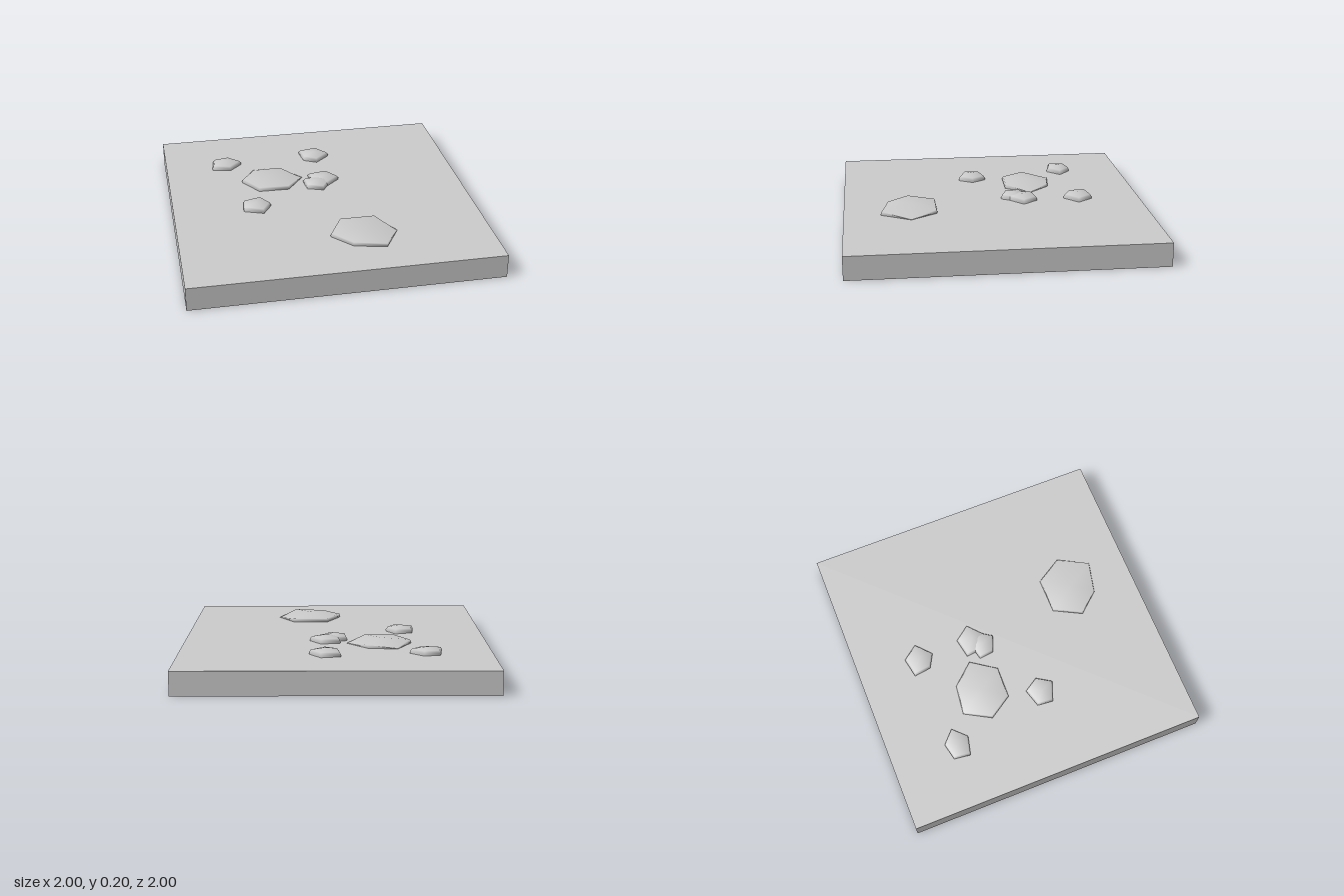
import * as THREE from 'three';

const TOP = 0.155; // upper face of the slab

// Low domed stone: outline corners [x, z, rim height], a short bulging side, a shallow crown
function stoneGeometry(outline, apex, inset) {
  const [ax, az, ay] = apex;
  const n = outline.length;
  const positions = [];
  const index = [];
  const ring = (scale, height) => outline.forEach(([x, z, h = 0.185]) =>
    positions.push(ax + (x - ax) * scale, height(h), az + (z - az) * scale));
  ring(0.95, () => TOP - 0.015);
  ring(1, (h) => TOP + (h - TOP) * 0.4);
  ring(1 - inset, (h) => h);
  positions.push(ax, ay, az);
  for (let i = 0; i < n; i++) {
    const j = (i + 1) % n;
    for (let r = 0; r < 2; r++) {
      const a = r * n + i, b = r * n + j;
      index.push(a, a + n, b + n, a, b + n, b);
    }
    index.push(2 * n + i, 3 * n, 2 * n + j);
  }
  const geometry = new THREE.BufferGeometry();
  geometry.setAttribute('position', new THREE.Float32BufferAttribute(positions, 3));
  geometry.setIndex(index);
  geometry.computeVertexNormals();
  return geometry;
}

export function createModel() {
  const model = new THREE.Group();
  model.name = 'stoneTile';
  const grey = new THREE.MeshStandardMaterial({ color: 0xcccccc });
  grey.name = 'stoneGrey';

  const add = (name, geometry) => {
    const mesh = new THREE.Mesh(geometry, grey);
    mesh.name = name;
    model.add(mesh);
    return mesh;
  };

  // Square ground slab
  add('slab', new THREE.BoxGeometry(2, TOP, 2)).position.y = TOP / 2;

  // Two broad stones, each sinking into the slab on one side
  add('largeStoneBack', stoneGeometry([
    [-0.5, -0.275, 0.18], [-0.4, -0.445, 0.16], [-0.205, -0.42, 0.175],
    [-0.075, -0.275, 0.157], [-0.19, -0.115, 0.18], [-0.4, -0.12, 0.18],
  ], [-0.3, -0.28, 0.195], 0.05));
  add('largeStoneFront', stoneGeometry([
    [-0.04, 0.57, 0.18], [0.055, 0.39, 0.18], [0.29, 0.39, 0.18],
    [0.4, 0.565, 0.156], [0.29, 0.76, 0.178], [0.08, 0.71, 0.18],
  ], [0.17, 0.57, 0.195], 0.03));

  // Small five-sided stones
  const wedge = [[-0.035, -0.65], [0.095, -0.675], [0.17, -0.575], [0.07, -0.485], [-0.02, -0.535]];
  const small = [
    [[[-0.68, -0.5], [-0.665, -0.61], [-0.555, -0.635], [-0.47, -0.555], [-0.555, -0.47]], [-0.585, -0.56]],
    [wedge, [0.065, -0.58]],
    [wedge.map(([x, z]) => [x, z + 0.375]), [0.065, -0.2]],
    [[[-0.08, -0.2], [0.025, -0.225], [0.115, -0.175], [0.04, -0.06], [-0.07, -0.1]], [0.005, -0.145]],
    [[[-0.53, 0.035], [-0.41, 0], [-0.35, 0.095], [-0.41, 0.19], [-0.54, 0.14]], [-0.45, 0.1]],
  ];
  small.forEach(([outline, [x, z]], i) =>
    add(`smallStone${i + 1}`, stoneGeometry(outline, [x, z, 0.2], 0.12)));

  return model;
}
